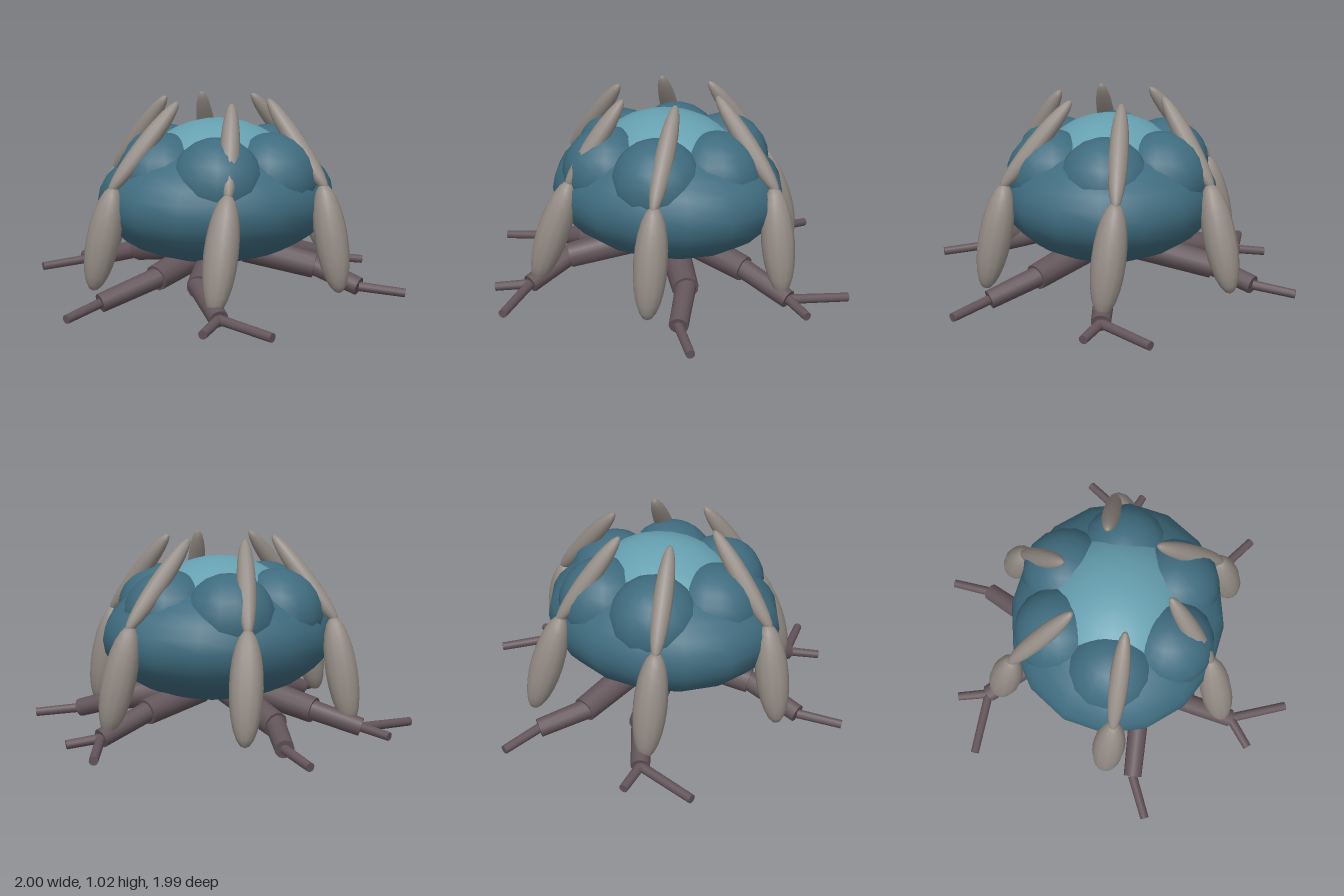
import * as THREE from 'three';

const material = (color) => new THREE.MeshStandardMaterial({ color });
const V = (p) => new THREE.Vector3(...p);
const UP = new THREE.Vector3(0, 1, 0);

export function createModel() {
  const model = new THREE.Group();
  const teal = material(0x3f6c7f);
  const paleTeal = material(0x66a0b0);
  const grey = material(0x958d86);
  const brown = material(0x63555a);

  function add(parent, name, geometry, mat) {
    const mesh = new THREE.Mesh(geometry, mat);
    mesh.name = name;
    parent.add(mesh);
    return mesh;
  }

  // Turn a y-aligned mesh so that it spans from a to b
  function span(mesh, a, b) {
    mesh.position.copy(a).add(b).multiplyScalar(0.5);
    mesh.quaternion.setFromUnitVectors(UP, b.clone().sub(a).normalize());
    return mesh;
  }

  // Stretched ellipsoid between two points
  function spindle(parent, name, a, b, radius, mat) {
    const mesh = add(parent, name, new THREE.SphereGeometry(1, 12, 12), mat);
    mesh.scale.set(radius, a.distanceTo(b) / 2, radius);
    return span(mesh, a, b);
  }

  // Straight round limb between two points
  function rod(parent, name, a, b, r0, r1, mat) {
    const geo = new THREE.CylinderGeometry(r1, r0, a.distanceTo(b), 12);
    return span(add(parent, name, geo, mat), a, b);
  }

  // Flattened body with a paler crown
  const body = add(model, 'body', new THREE.SphereGeometry(1, 16, 16), teal);
  body.scale.set(0.65, 0.34, 0.575);
  body.position.y = 0.5;
  const crown = add(model, 'crown', new THREE.SphereGeometry(1, 16, 10, 0, Math.PI * 2, 0, Math.PI / 2), paleTeal);
  crown.scale.set(0.53, 0.5, 0.48);
  crown.position.y = 0.42;

  // Ring of six shallow lobes, overlapping along straight seams
  for (let i = 0; i < 6; i++) {
    const angle = (i * Math.PI) / 3;
    const lobe = add(model, 'lobe', new THREE.SphereGeometry(1, 16, 12), teal);
    lobe.scale.set(0.242, 0.235, 0.242);
    lobe.position.set(0.33 * Math.cos(angle), 0.63, 0.33 * Math.sin(angle));
    lobe.rotation.y = -angle;
  }

  // Arms: low end, elbow, raised tip
  const arms = [
    [[0.37, 0.06, 0.62], [0.33, 0.62, 0.51], [0.2, 1.03, 0.18]],
    [[-0.38, 0.06, 0.63], [-0.23, 0.62, 0.51], [-0.07, 1.03, 0.27]],
    [[-0.74, 0.08, 0.01], [-0.63, 0.62, 0.05], [-0.27, 1.03, 0.07]],
    [[-0.37, 0.06, -0.63], [-0.35, 0.62, -0.51], [-0.2, 1.03, -0.2]],
    [[0.37, 0.07, -0.65], [0.25, 0.62, -0.53], [0.06, 1.03, -0.28]],
    [[0.74, 0.07, -0.02], [0.63, 0.62, -0.08], [0.26, 1.03, -0.08]],
  ];
  for (const points of arms) {
    const [low, elbow, tip] = points.map(V);
    const arm = new THREE.Group();
    arm.name = 'arm';
    spindle(arm, 'lowerArm', low, elbow, 0.086, grey);
    const start = elbow.clone().lerp(tip, -0.08);
    spindle(arm, 'upperArm', start, tip, 0.05, grey);
    model.add(arm);
  }

  // Legs: root, knee, ankle, then one or two toes
  const legs = [
    { path: [[0.12, 0.22, 0.1], [0.4, 0.14, 0.35], [0.53, 0.06, 0.57]], toes: [[0.72, 0.035, 0.72]] },
    { path: [[-0.08, 0.22, 0.12], [-0.34, 0.14, 0.42], [-0.38, 0.055, 0.68]], toes: [[-0.27, 0.035, 0.985], [-0.53, 0.035, 0.79]] },
    { path: [[-0.12, 0.22, 0.05], [-0.46, 0.145, 0.17], [-0.77, 0.06, 0.17]], toes: [[-0.99, 0.035, 0.26]] },
    { path: [[-0.09, 0.22, -0.11], [-0.24, 0.13, -0.49], [-0.39, 0.055, -0.69]], toes: [[-0.73, 0.035, -0.72], [-0.42, 0.035, -0.86]] },
    { path: [[0.04, 0.22, -0.12], [0.09, 0.12, -0.56], [0.22, 0.065, -0.77]], toes: [[0.26, 0.035, -0.99]] },
    { path: [[0.14, 0.22, -0.01], [0.5, 0.145, -0.02], [0.78, 0.055, -0.02]], toes: [[0.985, 0.035, -0.27], [0.94, 0.035, 0.05]] },
  ];
  for (const { path, toes } of legs) {
    const [root, knee, ankle] = path.map(V);
    const leg = new THREE.Group();
    leg.name = 'leg';
    rod(leg, 'thigh', root, knee, 0.08, 0.068, brown);
    // Shin starts just inside the thigh
    rod(leg, 'shin', knee.clone().lerp(ankle, -0.12), ankle, 0.054, 0.049, brown);
    for (const toe of toes) rod(leg, 'toe', ankle, V(toe), 0.025, 0.023, brown);
    model.add(leg);
  }

  return model;
}
